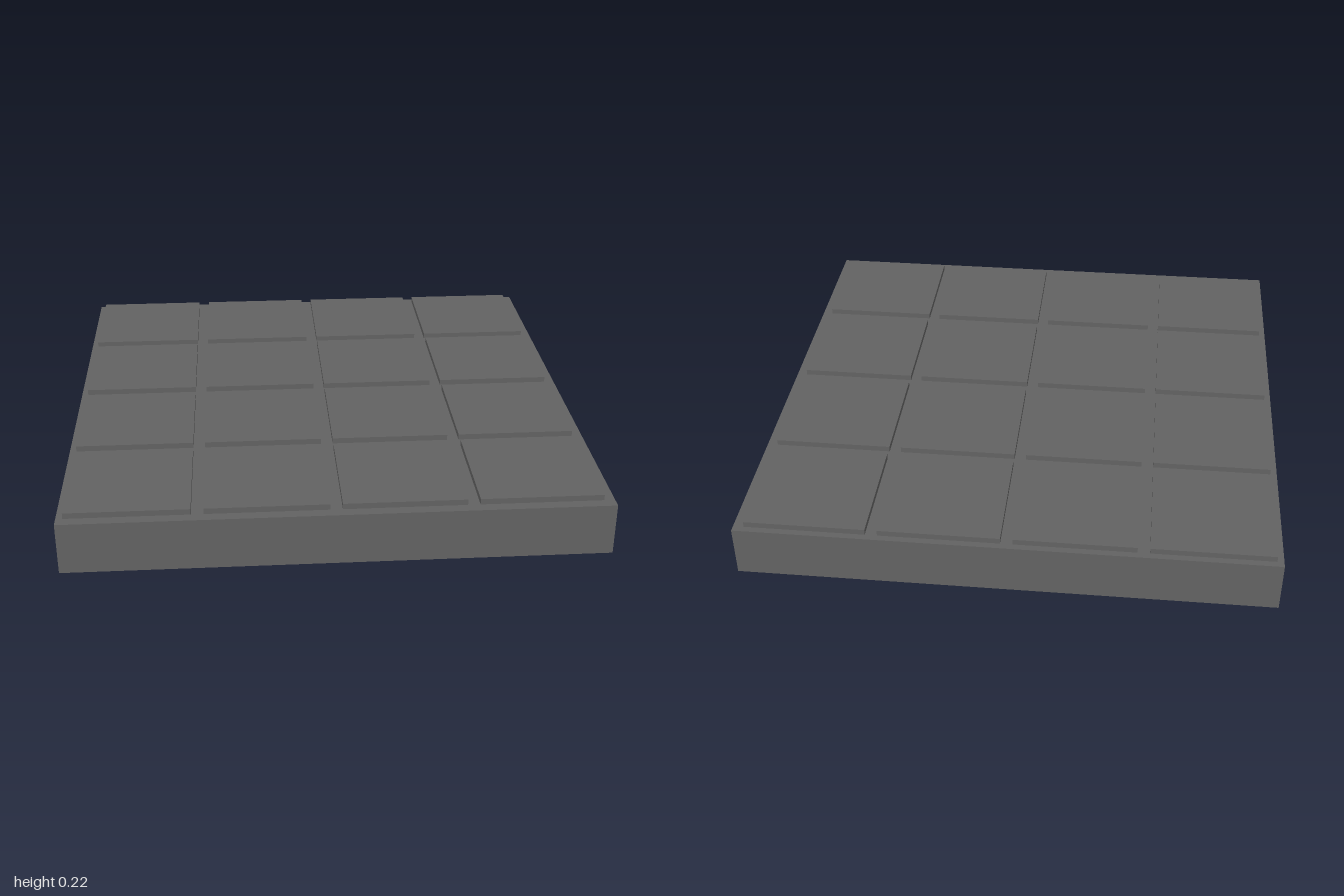
import * as THREE from 'three';

export function createModel() {
  const model = new THREE.Group();
  model.name = 'tiledSlab';

  const stone = new THREE.MeshStandardMaterial({ color: 0x626262 });
  stone.name = 'dark grey stone';

  const slabHeight = 0.2;
  const tileSize = 0.45, tileHeight = 0.022, pitch = 0.495, firstCentre = -0.75;

  // Square base slab
  const slab = new THREE.Mesh(new THREE.BoxGeometry(2, slabHeight, 2), stone);
  slab.name = 'baseSlab';
  slab.position.y = slabHeight / 2;
  model.add(slab);

  // Four by four raised paving tiles, set slightly towards the back right corner
  const tiles = new THREE.Group();
  tiles.name = 'pavingTiles';
  const tileGeometry = new THREE.BoxGeometry(tileSize, tileHeight, tileSize);
  for (let row = 0; row < 4; row++) {
    for (let column = 0; column < 4; column++) {
      const tile = new THREE.Mesh(tileGeometry, stone);
      tile.name = `tileRow${row + 1}Column${column + 1}`;
      tile.position.set(
        firstCentre + column * pitch,
        slabHeight + tileHeight / 2,
        firstCentre + row * pitch
      );
      tiles.add(tile);
    }
  }
  model.add(tiles);

  return model;
}
